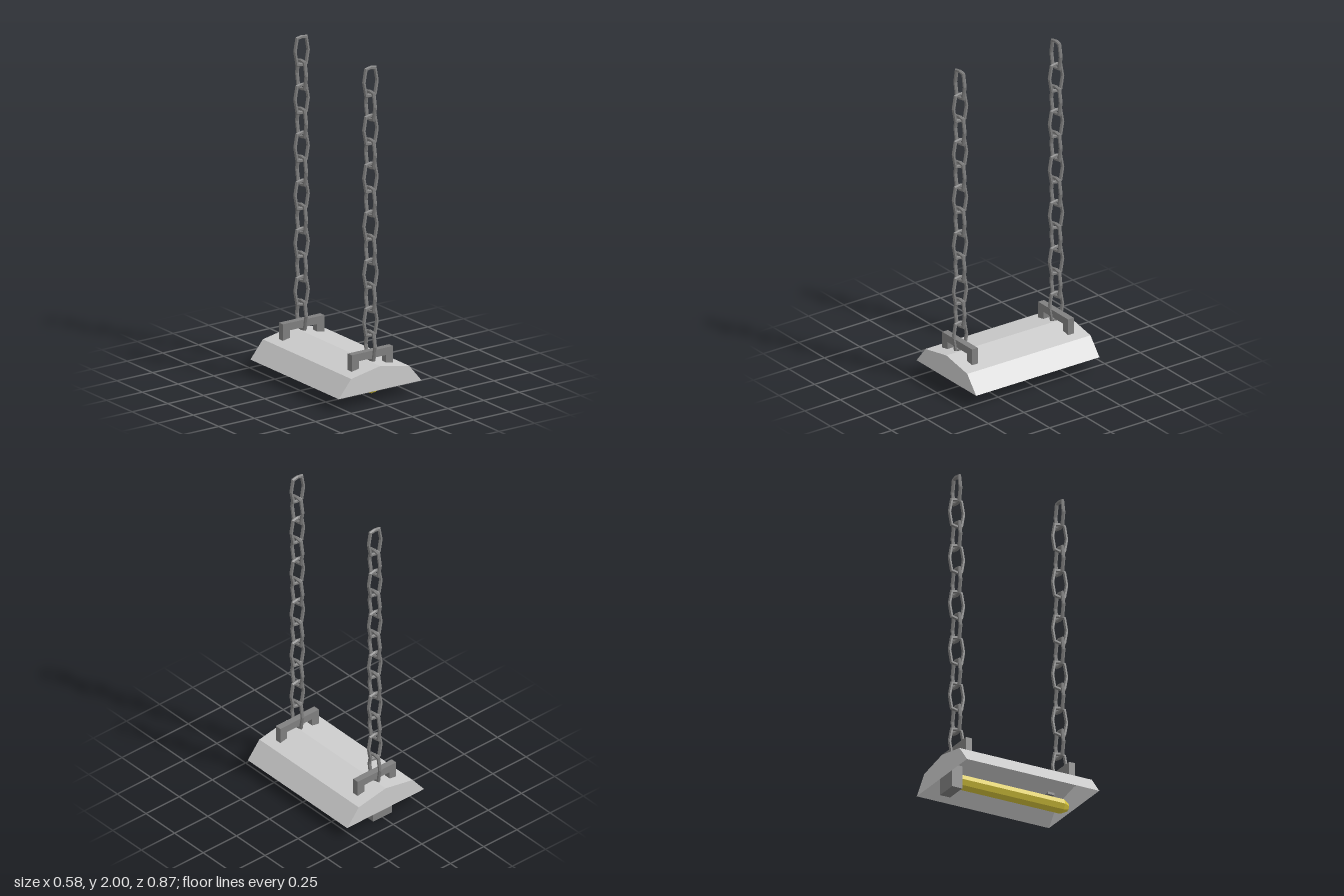
import * as THREE from 'three';

const material = (color, extra = {}) => new THREE.MeshStandardMaterial({ color, flatShading: true, ...extra });

// Open-bottomed shade: a folded roof profile swept along z, with closed ends
function shadeGeometry(profile, halfLength) {
  const pos = [];
  const tri = (...corners) => corners.forEach(([p, z]) => pos.push(p[0], p[1], z));
  const L = halfLength;
  for (let i = 0; i < profile.length - 1; i++) {
    const a = profile[i], b = profile[i + 1];
    tri([a, L], [a, -L], [b, -L]);
    tri([a, L], [b, -L], [b, L]);
    if (i > 0) {
      tri([profile[0], L], [a, L], [b, L]);
      tri([profile[0], -L], [b, -L], [a, -L]);
    }
  }
  const geo = new THREE.BufferGeometry();
  geo.setAttribute('position', new THREE.Float32BufferAttribute(pos, 3));
  geo.computeVertexNormals();
  return geo;
}

// Chain link: an eight-segment torus reshaped to a tall hexagon with a slightly arched top
function linkGeometry(r) {
  const geo = new THREE.TorusGeometry(1, r, 6, 8);
  const p = geo.attributes.position;
  const outline = [[0.046, 0], [0.032, 0.078], [0, 0.084]];
  for (let k = 0; k < p.count; k++) {
    const x = p.getX(k), y = p.getY(k);
    const u = Math.atan2(y, x), out = Math.hypot(x, y) - 1;
    const step = Math.round(Math.asin(Math.min(1, Math.abs(Math.sin(u)))) / (Math.PI / 4));
    const sx = Math.sign(Math.cos(u)), sy = Math.sign(Math.sin(u));
    const miter = step === 1 ? 1.2 : 1;
    p.setXY(k,
      sx * outline[step][0] + out * miter * Math.cos(u),
      sy * outline[step][1] + out * miter * Math.sin(u));
  }
  geo.computeVertexNormals();
  return geo;
}

export function createModel() {
  const model = new THREE.Group();
  const grey = material(0xcccccc, { side: THREE.DoubleSide });
  const darkGrey = material(0x808080);
  const yellow = material(0xd8c63c);

  const add = (parent, name, geo, mat, x = 0, y = 0, z = 0) => {
    const mesh = new THREE.Mesh(geo, mat);
    mesh.name = name;
    mesh.position.set(x, y, z);
    parent.add(mesh);
    return mesh;
  };

  // Lamp shade
  const profile = [[0.29, 0.075], [0.203, 0.18], [0, 0.218], [-0.203, 0.18], [-0.29, 0.075]];
  add(model, 'shade', shadeGeometry(profile, 0.434), grey);

  // Light tube with a tapered front end, and its socket at the back
  const tubeProfile = [[0, -0.36], [0.045, -0.36], [0.045, 0.35], [0.024, 0.388], [0, 0.388]]
    .map(([x, y]) => new THREE.Vector2(x, y));
  const tube = add(model, 'lightTube', new THREE.LatheGeometry(tubeProfile, 8), yellow, 0, 0.075, 0);
  tube.rotation.x = Math.PI / 2;
  add(model, 'socket', new THREE.BoxGeometry(0.14, 0.14, 0.066), darkGrey, 0, 0.07, -0.373);

  // Bracket outline, an upside-down U
  const bracketShape = new THREE.Shape([
    [-0.145, 0.185], [-0.095, 0.185], [-0.095, 0.245], [0.095, 0.245],
    [0.095, 0.185], [0.145, 0.185], [0.145, 0.29], [-0.145, 0.29],
  ].map(([x, y]) => new THREE.Vector2(x, y)));
  const bracketGeo = new THREE.ExtrudeGeometry(bracketShape, { depth: 0.04, bevelEnabled: false });
  bracketGeo.translate(0, 0, -0.02);
  const linkGeo = linkGeometry(0.011);

  // A bracket and a hanging chain at each end
  for (const [end, z] of [['front', 0.338], ['back', -0.338]]) {
    add(model, end + 'Bracket', bracketGeo, darkGrey, 0, 0, z);
    const chain = new THREE.Group();
    chain.name = end + 'Chain';
    chain.position.z = z;
    for (let i = 0; i < 12; i++) {
      const link = add(chain, 'link', linkGeo, darkGrey, 0, 0.3165 + i * 0.1444, 0);
      link.rotation.y = i % 2 ? 0 : Math.PI / 2;
    }
    model.add(chain);
  }
  return model;
}
